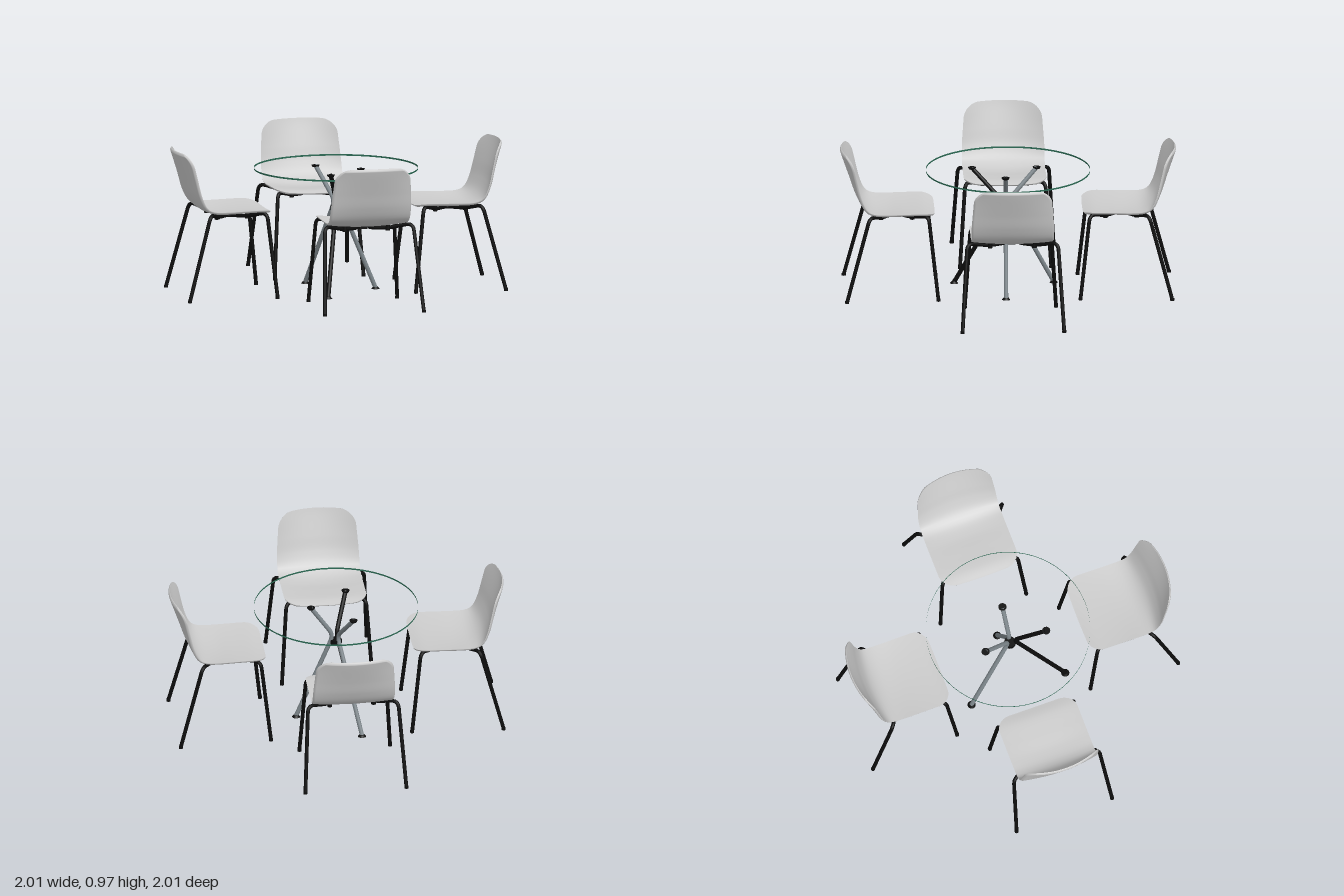
import * as THREE from 'three';
import { ParametricGeometry } from 'three/addons/geometries/ParametricGeometry.js';

const V = (x, y, z) => new THREE.Vector3(x, y, z);
const mat = (color) => new THREE.MeshStandardMaterial({ color, side: THREE.DoubleSide });
const shellMat = mat(0xcccccc);
const black = mat(0x0c0c0c);
const steel = mat(0x7c858a);
const glassEdge = mat(0x2c6b55);

function add(parent, geometry, material, name, position) {
  const mesh = new THREE.Mesh(geometry, material);
  mesh.name = name;
  if (position) mesh.position.copy(position);
  parent.add(mesh);
  return mesh;
}

// Polyline with its inner corners rounded off by the given radii
function bentPath(points, radii) {
  const path = new THREE.CurvePath();
  let last = points[0];
  for (let i = 1; i < points.length - 1; i++) {
    const p = points[i], r = radii[i - 1];
    const a = p.clone().add(points[i - 1].clone().sub(p).setLength(r));
    const b = p.clone().add(points[i + 1].clone().sub(p).setLength(r));
    path.add(new THREE.LineCurve3(last, a));
    path.add(new THREE.QuadraticBezierCurve3(a, p, b));
    last = b;
  }
  path.add(new THREE.LineCurve3(last, points[points.length - 1]));
  return path;
}

// Seat profiles (z, y) from front lip to top of the back: centre line and side edge
const spline = (pts) => new THREE.SplineCurve(pts.map(([z, y]) => new THREE.Vector2(z, y)));
const centreLine = spline([[0.485, 0.566], [0.56, 0.578], [0.68, 0.572], [0.8, 0.564], [0.89, 0.576],
  [0.955, 0.62], [1.0, 0.7], [1.035, 0.8], [1.078, 0.92], [1.095, 0.972]]);
const sideLine = spline([[0.49, 0.582], [0.56, 0.59], [0.68, 0.588], [0.8, 0.585], [0.88, 0.589],
  [0.932, 0.615], [0.968, 0.69], [0.995, 0.8], [1.02, 0.91], [1.035, 0.965]]);
const SHELL_LENGTH = centreLine.getLength();
const CORNER = 0.1;

// One face of the seat shell; the underside is offset and closes at the rim
function shellFace(under) {
  return new ParametricGeometry((a, b, target) => {
    const s = 0.5 - 0.5 * Math.cos(Math.PI * b);
    const t = (under ? 1 : -1) * Math.sin((a - 0.5) * Math.PI);
    const d = Math.min(s, 1 - s) * SHELL_LENGTH;
    const inset = d < CORNER ? CORNER - Math.sqrt(Math.max(0, CORNER ** 2 - (CORNER - d) ** 2)) : 0;
    const half = 0.272 - 0.017 * THREE.MathUtils.smoothstep(s, 0.6, 1);
    const x = t * (half - inset);
    const p = centreLine.getPointAt(s).lerp(sideLine.getPointAt(s), (x / half) ** 2);
    if (under) {
      const tan = centreLine.getTangentAt(s);
      const rim = Math.min(1, d / 0.012) * Math.min(1, (1 - Math.abs(t)) / 0.04);
      const h = 0.014 * Math.sqrt(Math.max(0, rim));
      p.x += tan.y * h;
      p.y -= tan.x * h;
    }
    target.set(x, p.y, p.x);
  }, 28, 56);
}

// Chair stands out along +z and faces the table at the origin
function makeChair(shellGeometries) {
  const chair = new THREE.Group();
  chair.name = 'chair';
  add(chair, shellGeometries[0], shellMat, 'seatShellTop');
  add(chair, shellGeometries[1], shellMat, 'seatShellUnderside');
  for (const m of [1, -1]) {
    // Front leg, run to the middle under the seat and back leg, in one bent tube
    const pts = [[0.3, 0.012, 0.467], [0.263, 0.575, 0.53], [0.14, 0.536, 0.645], [0.022, 0.53, 0.74],
      [0.15, 0.536, 0.83], [0.298, 0.576, 0.917], [0.334, 0.012, 1.068]].map(([x, y, z]) => V(m * x, y, z));
    const path = bentPath(pts, [0.05, 0.05, 0.06, 0.05, 0.05]);
    add(chair, new THREE.TubeGeometry(path, 130, 0.0125, 10), black, 'legFrame');
    for (const p of [pts[0], pts[6]])
      add(chair, new THREE.CylinderGeometry(0.0135, 0.0135, 0.016, 12), black, 'legTip', p);
    for (const z of [0.635, 0.84])
      add(chair, new THREE.CylinderGeometry(0.016, 0.016, 0.04, 12), black, 'seatMount', V(m * 0.145, 0.542, z));
  }
  add(chair, new THREE.BoxGeometry(0.05, 0.018, 0.05), black, 'frameJoint', V(0, 0.532, 0.74));
  return chair;
}

function makeTable() {
  const table = new THREE.Group();
  table.name = 'table';
  // Edge of the clear glass top
  add(table, new THREE.CylinderGeometry(0.54, 0.54, 0.011, 96, 1, true), glassEdge, 'glassEdge', V(0, 0.81, 0));

  // Three struts kinked at the hub: foot, knee, top pad
  const legs = [
    { foot: [-0.31, -0.12], knee: [-0.005, 0.008], top: [-0.2, -0.07], material: steel },
    { foot: [0.2, -0.17], knee: [0.022, 0.0], top: [0.13, -0.1], material: steel },
    { foot: [0.15, 0.345], knee: [0.02, 0.03], top: [0.1, 0.23], material: black },
  ];
  for (const { foot, knee, top, material } of legs) {
    const path = bentPath([V(foot[0], 0.008, foot[1]), V(knee[0], 0.595, knee[1]), V(top[0], 0.8, top[1])], [0.05]);
    add(table, new THREE.TubeGeometry(path, 60, 0.0145, 12), material, 'tableLeg');
    add(table, new THREE.CylinderGeometry(0.016, 0.027, 0.014, 20), black, 'foot', V(foot[0], 0.007, foot[1]));
    add(table, new THREE.CylinderGeometry(0.027, 0.02, 0.012, 20), black, 'topPad', V(top[0], 0.798, top[1]));
  }
  add(table, new THREE.CylinderGeometry(0.038, 0.038, 0.03, 20), black, 'hub', V(0.008, 0.55, 0.01));
  return table;
}

export function createModel() {
  const model = new THREE.Group();
  model.name = 'diningSet';
  model.add(makeTable());
  const shell = [shellFace(false), shellFace(true)];
  for (let i = 0; i < 4; i++) {
    const chair = makeChair(shell);
    chair.rotation.y = Math.PI / 4 + i * Math.PI / 2;
    model.add(chair);
  }
  return model;
}
